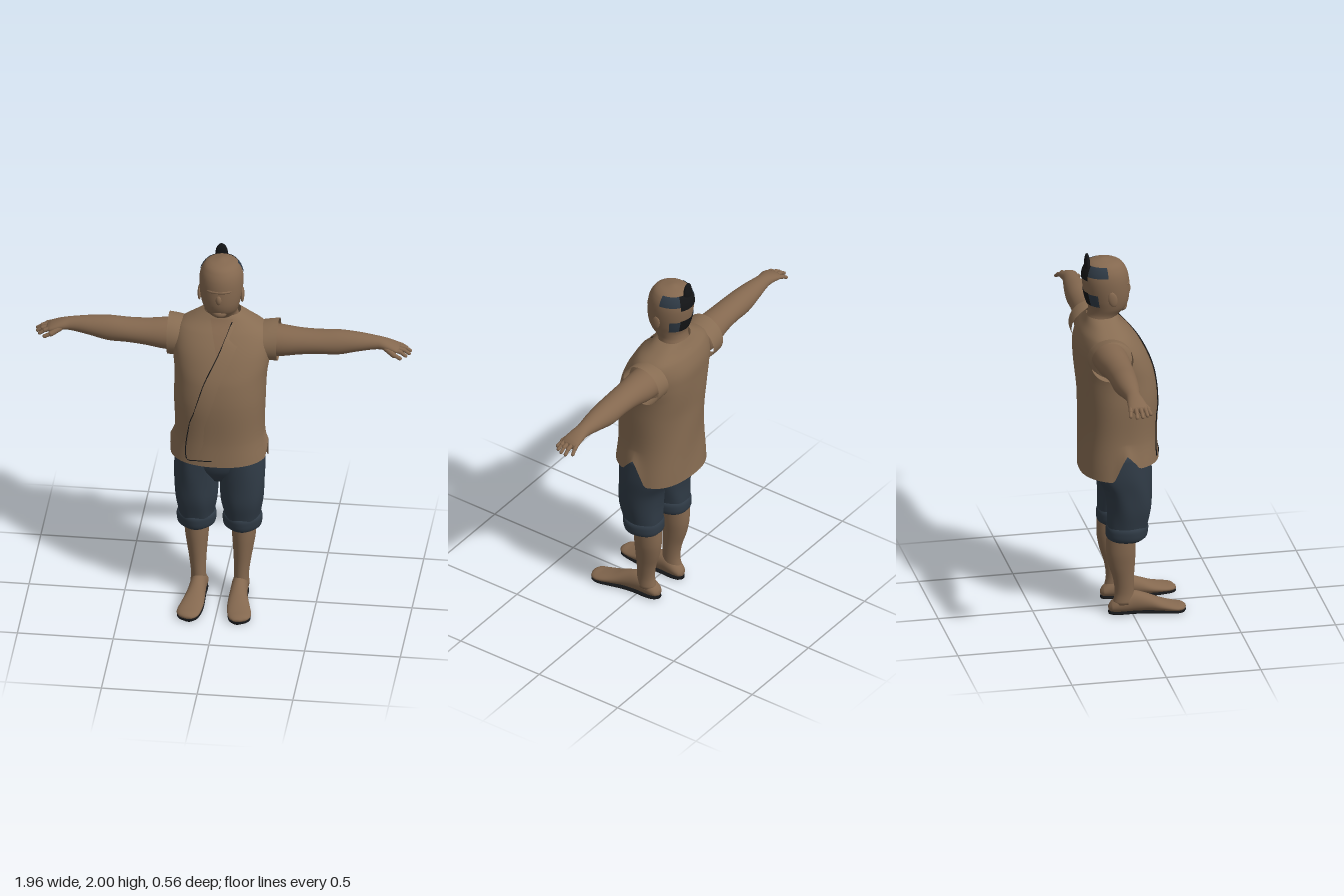
import * as THREE from 'three';

const mat = (name, color, side = THREE.FrontSide) => {
  const m = new THREE.MeshStandardMaterial({ color, side });
  m.name = name;
  return m;
};

// Smooth value of a ring table [t, centreA, centreB, radiusA, radiusB] at t
function ringAt(rings, t) {
  let i = 0;
  while (i < rings.length - 2 && t > rings[i + 1][0]) i++;
  const slope = (k, c) => {
    const p = rings[Math.max(0, k - 1)], q = rings[Math.min(rings.length - 1, k + 1)];
    return (q[c] - p[c]) / (q[0] - p[0]);
  };
  const a = rings[i], b = rings[i + 1], h = b[0] - a[0], u = (t - a[0]) / h;
  return [1, 2, 3, 4].map((c) =>
    a[c] * (1 + 2 * u) * (1 - u) ** 2 + b[c] * u * u * (3 - 2 * u)
    + h * (slope(i, c) * u * (1 - u) ** 2 + slope(i + 1, c) * u * u * (u - 1)));
}

const upright = (a, t, b) => [a, t, b];   // sections stacked along y
const sideways = (a, t, b) => [t, b, a];  // sections stacked along x
const forward = (a, t, b) => [b, a, t];   // sections stacked along z

// Skin over superellipse sections; side -1 mirrors it in x
function loft(rings, { map = upright, side = 1, seg = 40, steps = 4, n = 2, from = rings[0][0],
  to = rings.at(-1)[0], arc = null, grow = 0, ripple = () => 0, adjust = null, caps = true } = {}) {
  const ts = [from];
  for (let i = 0; i < rings.length - 1; i++) for (let k = 0; k < steps; k++) {
    const t = rings[i][0] + (rings[i + 1][0] - rings[i][0]) * k / steps;
    if (t > from + 1e-4 && t < to - 1e-4) ts.push(t);
  }
  ts.push(to);
  const pos = [], index = [], cols = arc ? seg + 1 : seg;
  const put = (a, t, b) => { const p = map(a, t, b); pos.push(p[0] * side, p[1], p[2]); };
  const tri = (a, b, c) => (side > 0 ? index.push(a, b, c) : index.push(a, c, b));
  const bend = (v) => Math.sign(v) * Math.abs(v) ** (2 / n);
  for (const t of ts) {
    const [ca, cb, ra, rb] = ringAt(rings, t);
    for (let j = 0; j < cols; j++) {
      const w = arc ? arc[0] + (arc[1] - arc[0]) * j / seg : j / seg * Math.PI * 2;
      const f = 1 + ripple(w, t);
      put(ca + (ra * f + grow) * bend(Math.cos(w)), adjust ? adjust(w, t) : t,
        cb + (rb * f + grow) * bend(Math.sin(w)));
    }
  }
  for (let i = 0; i < ts.length - 1; i++) for (let j = 0; j < seg; j++) {
    const k = (j + 1) % cols, a = i * cols + j, b = i * cols + k;
    tri(a, a + cols, b);
    tri(b, a + cols, b + cols);
  }
  if (caps && !arc) for (const end of [0, 1]) {
    const t = end ? to : from, [ca, cb] = ringAt(rings, t), c = pos.length / 3;
    put(ca, t, cb);
    const o = end ? (ts.length - 1) * cols : 0;
    for (let j = 0; j < seg; j++) {
      const k = (j + 1) % seg;
      if (end) tri(o + j, c, o + k); else tri(o + j, o + k, c);
    }
  }
  return finish(pos, index);
}

function finish(pos, index) {
  const g = new THREE.BufferGeometry();
  g.setAttribute('position', new THREE.Float32BufferAttribute(pos, 3));
  g.setIndex(index);
  g.computeVertexNormals();
  return g;
}

const SHIRT = [[0.8, -0.012, -0.053, 0.255, 0.207], [1, -0.01, -0.055, 0.233, 0.2],
  [1.2, -0.01, -0.057, 0.238, 0.205], [1.33, -0.006, -0.072, 0.24, 0.202], [1.42, -0.004, -0.09, 0.252, 0.188],
  [1.5, -0.004, -0.11, 0.255, 0.167], [1.57, -0.004, -0.126, 0.23, 0.132],
  [1.62, -0.005, -0.136, 0.155, 0.095], [1.655, -0.005, -0.14, 0.095, 0.076]];
const SHIRT_N = 2.3;
const HEAD = [[1.58, -0.005, -0.14, 0.1, 0.082], [1.64, -0.006, -0.137, 0.081, 0.079],
  [1.665, -0.008, -0.124, 0.08, 0.085], [1.7, -0.01, -0.108, 0.092, 0.1], [1.75, -0.01, -0.108, 0.105, 0.115],
  [1.82, -0.01, -0.115, 0.114, 0.122], [1.88, -0.01, -0.12, 0.112, 0.12], [1.925, -0.01, -0.123, 0.096, 0.102],
  [1.95, -0.01, -0.126, 0.068, 0.074], [1.965, -0.01, -0.13, 0.012, 0.014]];
const ARM = [[0.2, -0.14, 1.49, 0.09, 0.085], [0.3, -0.135, 1.488, 0.086, 0.083], [0.4, -0.13, 1.493, 0.075, 0.07],
  [0.5, -0.13, 1.497, 0.07, 0.064], [0.6, -0.134, 1.499, 0.066, 0.066], [0.7, -0.135, 1.507, 0.055, 0.051],
  [0.8, -0.135, 1.51, 0.04, 0.035], [0.85, -0.132, 1.505, 0.045, 0.028], [0.9, -0.13, 1.492, 0.05, 0.021],
  [0.922, -0.13, 1.484, 0.043, 0.014]];
const SLEEVE = [[0.2, -0.137, 1.485, 0.115, 0.1], [0.25, -0.138, 1.488, 0.114, 0.108], [0.287, -0.138, 1.49, 0.112, 0.112]];
const SHIN = [[0.06, 0.112, -0.045, 0.042, 0.056], [0.12, 0.112, -0.04, 0.039, 0.05], [0.2, 0.116, -0.045, 0.044, 0.055],
  [0.28, 0.12, -0.055, 0.053, 0.069], [0.36, 0.123, -0.06, 0.062, 0.077], [0.47, 0.125, -0.06, 0.065, 0.075]];
const FOOT = [[-0.12, 0.034, 0.104, 0.014, 0.016], [-0.105, 0.04, 0.105, 0.028, 0.034], [-0.06, 0.055, 0.107, 0.048, 0.044],
  [0, 0.064, 0.108, 0.058, 0.043], [0.08, 0.053, 0.111, 0.046, 0.049], [0.15, 0.038, 0.12, 0.031, 0.059],
  [0.22, 0.028, 0.132, 0.021, 0.062], [0.262, 0.025, 0.132, 0.017, 0.047], [0.28, 0.023, 0.126, 0.007, 0.018]];
const TROUSER = [[0.44, 0.12, -0.03, 0.086, 0.098], [0.5, 0.12, -0.027, 0.092, 0.105], [0.6, 0.119, -0.016, 0.11, 0.115],
  [0.7, 0.119, -0.022, 0.116, 0.124], [0.8, 0.117, -0.045, 0.119, 0.147], [0.92, 0.11, -0.05, 0.112, 0.148]];
const CUFF = [[0.425, 0.12, -0.031, 0.08, 0.09], [0.44, 0.12, -0.031, 0.097, 0.106], [0.475, 0.12, -0.029, 0.103, 0.111],
  [0.5, 0.12, -0.027, 0.1, 0.108], [0.515, 0.12, -0.026, 0.084, 0.094]];

// Front surface of the shirt at x, y
function frontZ(x, y) {
  const [cx, cz, rx, rz] = ringAt(SHIRT, y);
  const k = Math.min(1, Math.abs((x - cx) / rx));
  return cz + rz * (1 - k ** SHIRT_N) ** (1 / SHIRT_N);
}

// Diagonal edge where the shirt wraps over
const FOLD = [[0.89, -0.16], [1.1, -0.148], [1.17, -0.125], [1.35, -0.07], [1.5, 0], [1.63, 0.055]];
function foldX(y) {
  let i = 0;
  while (i < FOLD.length - 2 && y > FOLD[i + 1][0]) i++;
  const [a, b] = [FOLD[i], FOLD[i + 1]];
  return a[1] + (b[1] - a[1]) * (y - a[0]) / (b[0] - a[0]);
}

// Thin sheet lying on the chest between two edges
function chestSheet(y0, y1, left, right, lift) {
  const pos = [], index = [], R = 24, C = 10;
  for (let i = 0; i <= R; i++) for (let j = 0; j <= C; j++) {
    const y = y0 + (y1 - y0) * i / R, u = j / C, x = left(y) + (right(y) - left(y)) * u;
    pos.push(x, y, frontZ(x, y) + lift(u));
    if (i < R && j < C) {
      const a = i * (C + 1) + j, b = a + C + 1;
      index.push(a, a + 1, b, b, a + 1, b + 1);
    }
  }
  return finish(pos, index);
}

// Rounded rod between two points
function rod(a, b, r) {
  const p = new THREE.Vector3(...a), q = new THREE.Vector3(...b), d = q.clone().sub(p);
  const g = new THREE.CapsuleGeometry(r, d.length(), 4, 10);
  g.applyQuaternion(new THREE.Quaternion().setFromUnitVectors(new THREE.Vector3(0, 1, 0), d.normalize()));
  return g.translate(...p.add(q).multiplyScalar(0.5).toArray());
}

export function createModel() {
  const model = new THREE.Group();
  const skin = mat('skin', 0x84684f), cloth = mat('shirt cloth', 0x876c52, THREE.DoubleSide);
  const denim = mat('trouser cloth', 0x2f3a45), hairGrey = mat('grey hair', 0x2f3a45, THREE.DoubleSide);
  const black = mat('black', 0x141517, THREE.DoubleSide);
  const add = (name, geometry, material) => {
    const m = new THREE.Mesh(geometry, material);
    m.name = name;
    model.add(m);
    return m;
  };
  const blob = (name, material, at, size) => {
    const m = add(name, new THREE.SphereGeometry(1, 20, 14), material);
    m.position.set(...at);
    m.scale.set(...size);
    return m;
  };

  // Head and face
  add('head', loft(HEAD), skin);
  blob('nose', skin, [-0.01, 1.785, 0], [0.017, 0.03, 0.016]);
  blob('brow', skin, [-0.01, 1.83, -0.026], [0.07, 0.016, 0.035]);
  blob('chin', skin, [-0.01, 1.69, -0.035], [0.04, 0.028, 0.032]);
  for (const s of [1, -1]) blob('ear', skin, [s * 0.112 - 0.01, 1.77, -0.1], [0.01, 0.042, 0.024]).rotation.x = -0.2;

  // Hair patches and topknot
  const PI = Math.PI;
  const hair = (name, m, from, to, a, b) => add(name, loft(HEAD, { from, to, arc: [a, b], grow: 0.004, seg: 16 }), m);
  hair('backHair', black, 1.865, 1.942, 1 - PI, -1);
  hair('napeHair', black, 1.72, 1.795, 1.05 - PI, -1.05);
  for (const [a, b] of [[-1, -0.02], [0.02 - PI, 1 - PI]]) hair('sideHair', hairGrey, 1.888, 1.942, a, b);
  for (const [a, b] of [[-1.05, -0.55], [0.55 - PI, 1.05 - PI]]) hair('sideNapeHair', hairGrey, 1.72, 1.79, a, b);
  blob('topknot', black, [-0.02, 1.94, -0.216], [0.033, 0.06, 0.015]);

  // Shirt with a side-slit hem that hangs lower behind
  const hem = (w) => {
    const s = Math.sin(w), base = s > 0 ? 0.865 : 0.795;
    return base + (0.94 - base) * Math.max(0, 1 - Math.abs(s) / 0.28);
  };
  add('shirt', loft(SHIRT, {
    n: SHIRT_N, seg: 96, steps: 6, caps: false,
    ripple: (w, t) => 0.012 * Math.max(0, -Math.sin(w)) * Math.sin(5 * w + 14 * t),
    adjust: (w, t) => (t < 1 ? 1 - (1 - t) / 0.2 * (1 - hem(w)) : t),
  }), cloth);
  add('shirtOverlap', chestSheet(0.89, 1.62, foldX, (y) => foldX(y) + (y > 1.55 ? 0.03 : 0.12),
    (u) => 0.008 - 0.012 * u), cloth);
  add('openNeck', chestSheet(1.48, 1.64, (y) => -0.012 - (y - 1.48) * 0.3, foldX, () => 0.003), skin);
  const seam = [[-0.03, 0.9], [-0.1, 0.895], ...FOLD.map(([y, x]) => [x, y])]
    .map(([x, y]) => new THREE.Vector3(x, y, frontZ(x, y) + 0.006));
  add('foldSeam', new THREE.TubeGeometry(new THREE.CatmullRomCurve3(seam), 80, 0.0028, 6), black);

  for (const side of [1, -1]) {
    // Arm, sleeve opening and hand
    add('sleeve', loft(SLEEVE, { map: sideways, side, caps: false }), cloth);
    add('arm', loft(ARM, { map: sideways, side }), skin);
    [[-0.168, 0.955], [-0.144, 0.978], [-0.12, 0.975], [-0.098, 0.96]].forEach(([z, tip], i) => {
      const root = [side * 0.9, 1.492, z], tipZ = z + (i - 1.7) * 0.006;
      const knuckle = [side * (tip - 0.03), 1.482, (z + tipZ) / 2];
      add('finger', rod(root, knuckle, 0.0115), skin);
      add('fingertip', rod(knuckle, [side * (tip - 0.005), 1.465, tipZ], 0.0095), skin);
    });
    add('thumb', rod([side * 0.85, 1.497, -0.1], [side * 0.895, 1.475, -0.075], 0.015), skin);
    add('thumbTip', rod([side * 0.895, 1.475, -0.075], [side * 0.928, 1.461, -0.068], 0.0105), skin);

    // Trouser leg, rolled cuff, bare shin, foot and sole
    const leg = [
      add('trouserLeg', loft(TROUSER, { side, seg: 48, n: 2.2, ripple: (w, t) => 0.012 * Math.sin(6 * w + 16 * t) }), denim),
      add('rolledCuff', loft(CUFF, { side, ripple: (w) => 0.015 * Math.sin(5 * w) }), denim),
      add('shin', loft(SHIN, { side }), skin),
      add('foot', loft(FOOT, { map: forward, side }), skin),
      add('sole', loft(FOOT.map(([z, , x, , r]) => [z, 0.008, x, 0.008, r * 0.97]), { map: forward, side, n: 2.6 }), black),
    ];
    for (const part of leg) part.position.x = -0.008;
  }
  add('trouserSeat', loft([[0.72, -0.008, -0.04, 0.1, 0.09], [0.8, -0.008, -0.05, 0.2, 0.145],
    [0.9, -0.008, -0.053, 0.222, 0.155], [1.02, -0.008, -0.055, 0.2, 0.15]]), denim);
  return model;
}
